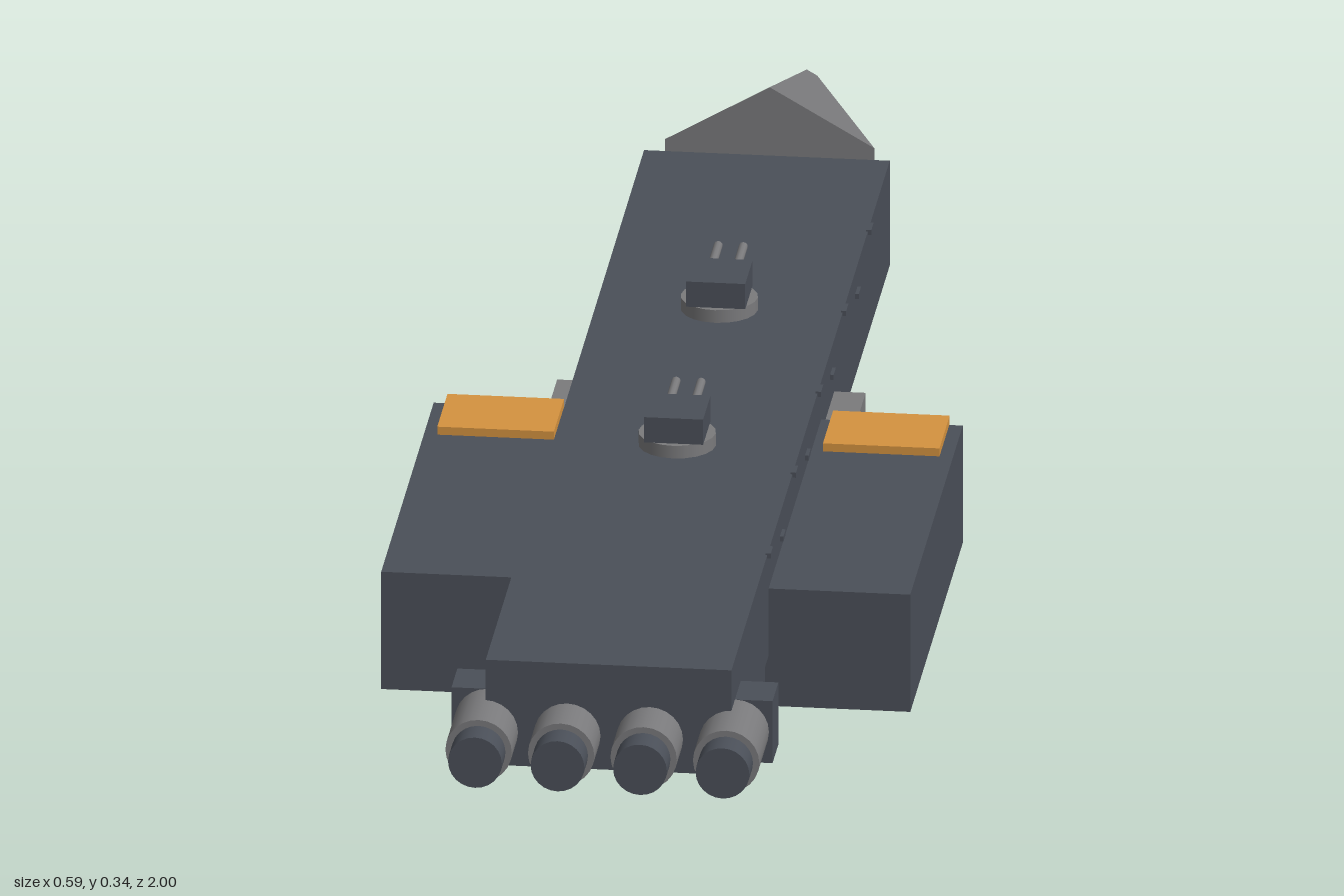
import * as THREE from 'three';

const mat = (name, color) => {
  const m = new THREE.MeshStandardMaterial({ color });
  m.name = name;
  return m;
};

export function createModel() {
  const ship = new THREE.Group();
  ship.name = 'spaceship';
  const hullDark = mat('dark hull', 0x4a4f58);
  const metal = mat('grey metal', 0x7a7a7c);
  const orange = mat('orange glow', 0xd4923f);

  const add = (name, geo, material, parent = ship) => {
    const mesh = new THREE.Mesh(geo, material);
    mesh.name = name;
    parent.add(mesh);
    return mesh;
  };
  // Box given by its extents on each axis
  const box = (name, [x0, x1], [y0, y1], [z0, z1], material, parent) =>
    add(name, new THREE.BoxGeometry(x1 - x0, y1 - y0, z1 - z0)
      .translate((x0 + x1) / 2, (y0 + y1) / 2, (z0 + z1) / 2), material, parent);
  // Cylinder lying along z, its rBack end at z1 and rNose end at z0
  const rod = (name, x, y, [z0, z1], rNose, rBack, sides, material, parent) =>
    add(name, new THREE.CylinderGeometry(rNose, rBack, z1 - z0, sides)
      .rotateX(-Math.PI / 2).translate(x, y, (z0 + z1) / 2), material, parent);

  // Main hull and keel
  box('mainHull', [-0.137, 0.137], [0.14, 0.265], [-0.617, 0.905], hullDark);
  box('keel', [-0.117, 0.117], [0.04, 0.14], [-0.31, 0.605], hullDark);

  // Six-sided nose, separated from the hull by a narrow gap
  const noseGeo = new THREE.CylinderGeometry(0.0135, 0.135, 0.357, 6)
    .rotateX(-Math.PI / 2).translate(0, 0.201, -0.8215).toNonIndexed();
  noseGeo.computeVertexNormals();
  add('noseCone', noseGeo, metal);

  // Underslung cannon with a glowing muzzle
  rod('cannonBarrel', 0, 0.036, [-0.565, 0.35], 0.036, 0.036, 24, metal);
  rod('cannonMuzzle', 0, 0.036, [-0.58, -0.565], 0.025, 0.025, 24, orange);

  // Side pods with landing panels and forward struts
  for (const s of [-1, 1]) {
    const span = (a, b) => (s > 0 ? [a, b] : [-b, -a]);
    const pod = new THREE.Group();
    pod.name = s > 0 ? 'leftPod' : 'rightPod';
    box('podBody', span(0.133, 0.295), [0.08, 0.22], [0.043, 0.548], hullDark, pod);
    box('podPanel', span(0.15, 0.28), [0.2205, 0.23], [0.04, 0.138], orange, pod);
    box('podStrut', span(0.12, 0.172), [0.165, 0.203], [-0.083, 0.06], metal, pod);
    ship.add(pod);
  }

  // Engine block with four nozzles
  box('engineBlock', [-0.179, 0.179], [0.143, 0.217], [0.816, 0.872], hullDark);
  for (let i = 0; i < 4; i++) {
    const x = -0.138 + i * 0.092;
    rod('engineHousing', x, 0.18, [0.87, 0.965], 0.037, 0.037, 24, metal);
    rod('engineNozzle', x, 0.18, [0.96, 1], 0.03, 0.03, 24, hullDark);
  }

  // Twin-barrel deck turrets
  for (const z of [0.245, -0.16]) {
    const turret = new THREE.Group();
    turret.name = 'turret';
    add('turretBase', new THREE.CylinderGeometry(0.043, 0.043, 0.015, 20)
      .translate(0, 0.2725, 0), metal, turret);
    box('turretHead', [-0.033, 0.033], [0.28, 0.31], [-0.036, 0.036], hullDark, turret);
    for (const x of [-0.014, 0.014])
      rod('turretBarrel', x, 0.296, [-0.11, -0.03], 0.005, 0.005, 10, metal, turret);
    turret.position.z = z;
    ship.add(turret);
  }

  // Small fittings along the upper left edge, at alternating heights
  for (let i = 0; i < 9; i++) {
    const z = 0.55 - i * 0.1208;
    const y = i % 2 ? 0.236 : 0.264;
    box('hullFitting', [0.135, 0.141], [y - 0.003, y + 0.003], [z - 0.011, z + 0.011], hullDark);
  }
  return ship;
}
